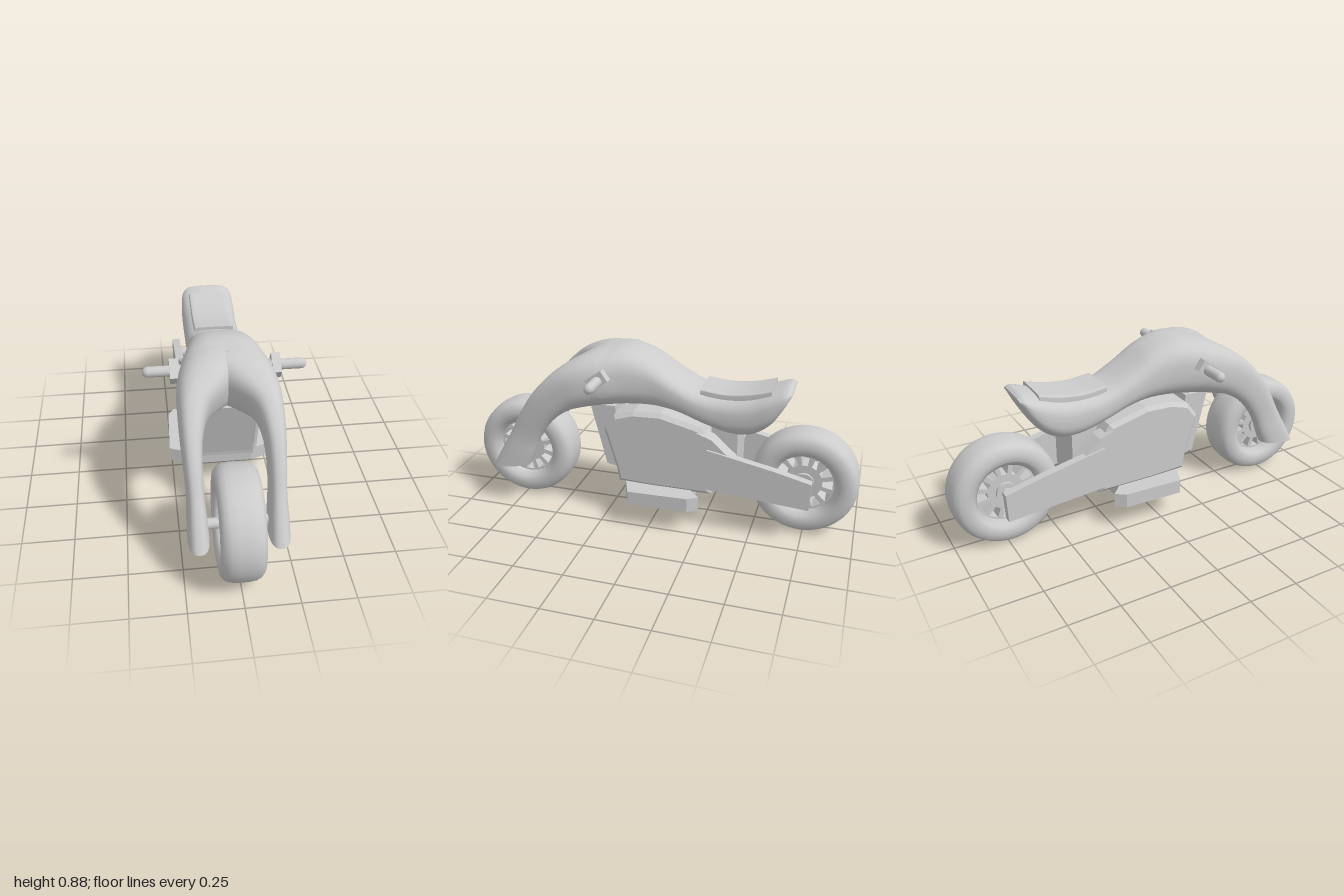
import * as THREE from 'three';

const grey = new THREE.MeshStandardMaterial({ color: 0xcccccc });

function add(parent, name, geometry, x = 0, y = 0, z = 0) {
  const mesh = new THREE.Mesh(geometry, grey);
  mesh.name = name;
  mesh.position.set(x, y, z);
  parent.add(mesh);
  return mesh;
}

// Smooth loft; each section is [topZ, topY, bottomZ, bottomY, xMin, xMax], ordered towards +z
function loft(sections, power, rows, cols = 40) {
  const tops = new THREE.CatmullRomCurve3(sections.map(s => new THREE.Vector3(s[4], s[1], s[0])));
  const bottoms = new THREE.CatmullRomCurve3(sections.map(s => new THREE.Vector3(s[5], s[3], s[2])));
  const pos = [], index = [];
  const round = v => Math.sign(v) * Math.pow(Math.abs(v), 2 / power);
  const ring = t => {
    const a = tops.getPoint(t), b = bottoms.getPoint(t);
    for (let j = 0; j < cols; j++) {
      const angle = (j / cols) * Math.PI * 2;
      const u = round(Math.cos(angle)), v = (1 + round(Math.sin(angle))) / 2;
      pos.push((a.x + b.x) / 2 + u * (b.x - a.x) / 2, b.y + (a.y - b.y) * v, b.z + (a.z - b.z) * v);
    }
  };
  for (let i = 0; i <= rows; i++) ring(i / rows);
  for (let i = 0; i < rows; i++) {
    for (let j = 0; j < cols; j++) {
      const a = i * cols + j, b = i * cols + (j + 1) % cols;
      index.push(a, b, a + cols, b, b + cols, a + cols);
    }
  }
  // Flat end caps with their own vertices
  for (const end of [0, 1]) {
    const start = pos.length / 3;
    ring(end);
    for (let j = 1; j < cols - 1; j++) {
      if (end) index.push(start, start + j, start + j + 1);
      else index.push(start, start + j + 1, start + j);
    }
  }
  const g = new THREE.BufferGeometry();
  g.setAttribute('position', new THREE.Float32BufferAttribute(pos, 3));
  g.setIndex(index);
  g.computeVertexNormals();
  return g;
}

const shapeOf = pts => new THREE.Shape(pts.map(p => new THREE.Vector2(p[0], p[1])));

// Plate with a [z, y] outline, spanning x0 to x1
function sidePlate(pts, x0, x1, bevel = 0) {
  const g = new THREE.ExtrudeGeometry(shapeOf(pts), {
    depth: x1 - x0 - 2 * bevel, bevelEnabled: bevel > 0, bevelThickness: bevel,
    bevelSize: bevel, bevelOffset: -bevel, bevelSegments: 1,
  });
  return g.rotateY(-Math.PI / 2).translate(x1 - bevel, 0, 0);
}

function rod(radius, length) {
  return new THREE.CylinderGeometry(radius, radius, length, 20).rotateZ(Math.PI / 2);
}

function makeWheel(name, z, axleHalf) {
  const wheel = new THREE.Group();
  wheel.name = name;
  wheel.position.set(0, 0.264, z);
  // Tyre
  const half = [[0.150, 0.07], [0.163, 0.088], [0.172, 0.088], [0.178, 0.098], [0.205, 0.1],
    [0.232, 0.095], [0.25, 0.08], [0.26, 0.058], [0.264, 0.025]];
  const profile = [
    ...half.map(p => new THREE.Vector2(p[0], -p[1])),
    ...half.slice().reverse().map(p => new THREE.Vector2(p[0], p[1])),
    new THREE.Vector2(half[0][0], -half[0][1]),
  ];
  add(wheel, 'tyre', new THREE.LatheGeometry(profile, 56).rotateZ(Math.PI / 2));
  // Rim disc with a ring of slots
  const disc = new THREE.Shape().absarc(0, 0, 0.155, 0, Math.PI * 2);
  const slots = 12;
  for (let i = 0; i < slots; i++) {
    const a = (i / slots) * Math.PI * 2;
    const at = (r, da) => new THREE.Vector2(r * Math.cos(a + da), r * Math.sin(a + da));
    disc.holes.push(new THREE.Path([at(0.09, -0.15), at(0.09, 0.15), at(0.142, 0.17), at(0.142, -0.17)]));
  }
  const rim = new THREE.ExtrudeGeometry(disc, { depth: 0.09, bevelEnabled: false, curveSegments: 40 });
  add(wheel, 'rim', rim.translate(0, 0, -0.045).rotateY(Math.PI / 2));
  add(wheel, 'hub', rod(0.05, 0.12));
  add(wheel, 'axle', rod(0.025, axleHalf * 2));
  return wheel;
}

export function createModel() {
  const bike = new THREE.Group();
  bike.name = 'motorcycle';

  bike.add(makeWheel('frontWheel', 0.736, 0.16), makeWheel('rearWheel', -0.736, 0.175));

  // Main body from tail to shoulders: topZ, topY, bottomZ, bottomY, half width
  const body = [
    [-0.655, 0.737, -0.652, 0.715, 0.1], [-0.63, 0.748, -0.615, 0.64, 0.13],
    [-0.56, 0.73, -0.555, 0.55, 0.142], [-0.46, 0.7, -0.47, 0.495, 0.142],
    [-0.34, 0.688, -0.37, 0.49, 0.142], [-0.2, 0.705, -0.25, 0.525, 0.145],
    [-0.08, 0.765, -0.12, 0.57, 0.148], [0.04, 0.84, 0, 0.59, 0.155],
    [0.16, 0.875, 0.13, 0.59, 0.18], [0.28, 0.865, 0.25, 0.58, 0.215],
  ].map(s => [s[0], s[1], s[2], s[3], -s[4], s[4]]);
  add(bike, 'body', loft(body, 2.8, 54));

  // Fork legs split out of the shoulders
  const fork = [
    [0.16, 0.872, 0.13, 0.592, -0.17, 0.178], [0.28, 0.865, 0.25, 0.58, -0.15, 0.216],
    [0.4, 0.82, 0.34, 0.578, -0.01, 0.234], [0.5, 0.755, 0.42, 0.563, 0.095, 0.236],
    [0.6, 0.655, 0.49, 0.52, 0.132, 0.234], [0.68, 0.54, 0.55, 0.455, 0.142, 0.228],
    [0.75, 0.41, 0.6, 0.375, 0.142, 0.222], [0.82, 0.29, 0.635, 0.29, 0.134, 0.226],
    [0.868, 0.205, 0.66, 0.235, 0.13, 0.228],
  ];
  add(bike, 'leftFork', loft(fork, 2.5, 48));
  add(bike, 'rightFork', loft(fork.map(s => [...s.slice(0, 4), -s[5], -s[4]]), 2.5, 48));

  // Seat pad following the body top
  const pad = [[-0.56, 0.742], [-0.46, 0.715], [-0.34, 0.702], [-0.22, 0.714]]
    .map(([z, y]) => [z, y, z, y - 0.05, -0.1, 0.1]);
  add(bike, 'seatPad', loft(pad, 9, 16));

  // Engine block, radiator and rear frame
  const engine = [[0.255, 0.48], [0.19, 0.26], [0.18, 0.195], [0, 0.187], [-0.3, 0.187],
    [-0.3, 0.44], [-0.24, 0.54], [-0.04, 0.59], [0.1, 0.585], [0.2, 0.555]];
  add(bike, 'engine', sidePlate(engine, -0.175, 0.175, 0.02));
  const radiator = [[0.33, 0.59], [0.25, 0.27], [0.19, 0.26], [0.2, 0.59]];
  add(bike, 'radiator', sidePlate(radiator, -0.135, 0.135));
  const rearFrame = [[-0.28, 0.53], [-0.28, 0.24], [-0.41, 0.26], [-0.41, 0.53]];
  add(bike, 'rearFrame', sidePlate(rearFrame, -0.1, 0.1));

  // Belly plate with footrest wings, drawn as a plan of [x, -z]
  const wing = [[0.155, -0.145], [0.265, -0.1], [0.255, 0.2], [0.22, 0.25], [0.17, 0.2]];
  const plan = [...wing, ...wing.slice().reverse().map(([x, y]) => [-x, y])];
  const belly = new THREE.ExtrudeGeometry(shapeOf(plan), { depth: 0.073, bevelEnabled: false });
  add(bike, 'bellyPlate', belly.rotateX(-Math.PI / 2), 0, 0.122, 0);

  // Paired swingarms, brackets and handlebars
  const arm = [[-0.28, 0.44], [-0.28, 0.23], [-0.4, 0.22], [-0.78, 0.19], [-0.785, 0.33], [-0.6, 0.375]];
  const bracket = [[-0.22, 0.52], [-0.3, 0.38], [-0.41, 0.39], [-0.3, 0.49]];
  for (const side of [1, -1]) {
    const label = side > 0 ? 'left' : 'right';
    const plate = (pts, a, b) => side > 0 ? sidePlate(pts, a, b) : sidePlate(pts, -b, -a);
    add(bike, label + 'Swingarm', plate(arm, 0.15, 0.192));
    add(bike, label + 'Bracket', plate(bracket, 0.1, 0.18));
    add(bike, label + 'Grip', new THREE.CapsuleGeometry(0.025, 0.16, 3, 20).rotateZ(Math.PI / 2),
      side * 0.275, 0.758, 0.245);
    const clamp = add(bike, label + 'Clamp', new THREE.BoxGeometry(0.04, 0.06, 0.1), side * 0.235, 0.758, 0.25);
    clamp.rotation.x = 0.6;
  }
  return bike;
}
